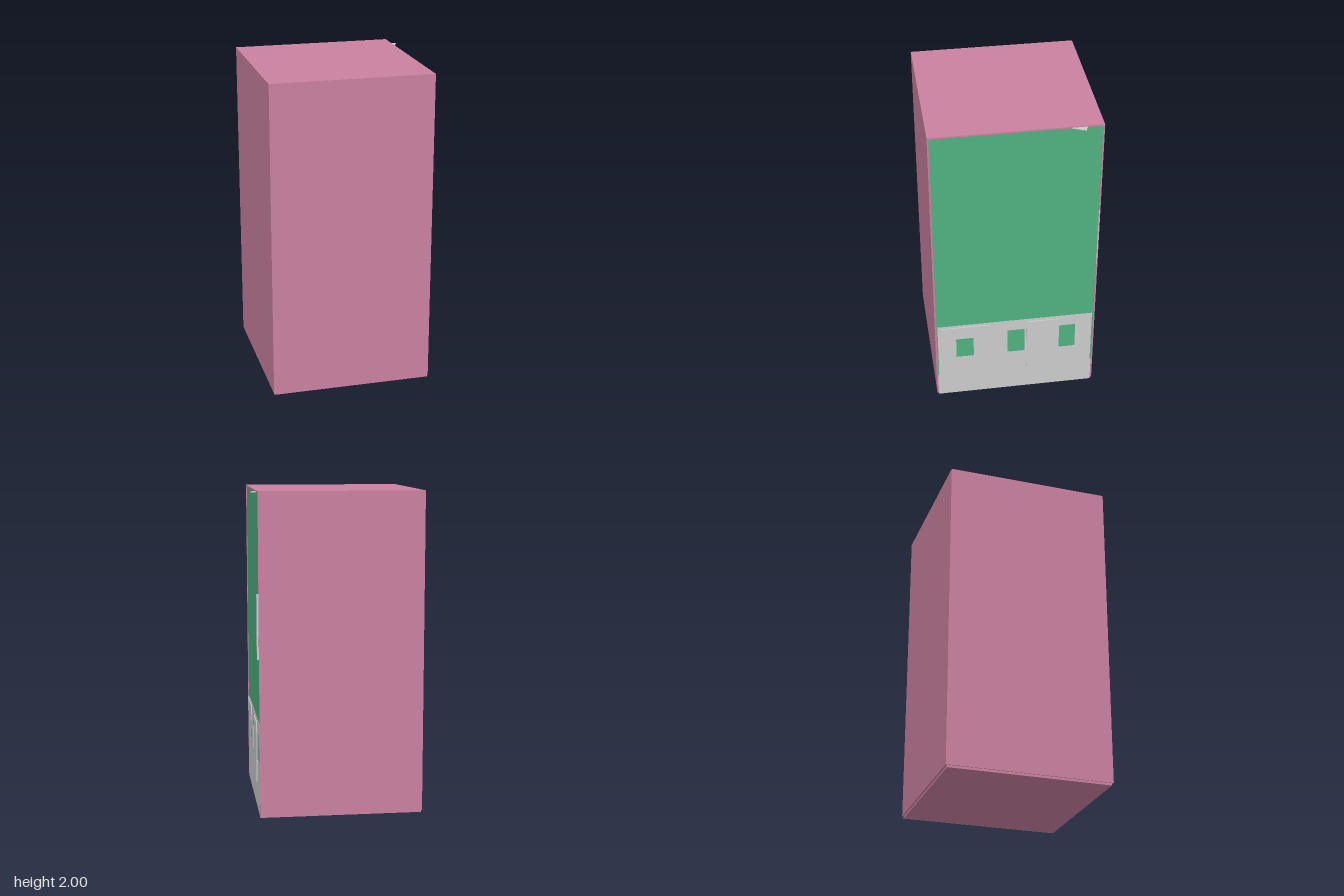
import * as THREE from 'three';

const pink = new THREE.MeshStandardMaterial({ color: 0xc9809f, side: THREE.DoubleSide });
const green = new THREE.MeshStandardMaterial({ color: 0x50b080 });
const grey = new THREE.MeshStandardMaterial({ color: 0xcccccc, side: THREE.DoubleSide });

// Box given by its lower and upper corners
function block(name, material, [x0, y0, z0], [x1, y1, z1]) {
  const mesh = new THREE.Mesh(new THREE.BoxGeometry(x1 - x0, y1 - y0, z1 - z0), material);
  mesh.position.set((x0 + x1) / 2, (y0 + y1) / 2, (z0 + z1) / 2);
  mesh.name = name;
  return mesh;
}

// Rectangle outline in (z, y)
function outline(Type, z0, z1, y0, y1) {
  const p = new Type();
  p.moveTo(-z0, y0);
  p.lineTo(-z1, y0);
  p.lineTo(-z1, y1);
  p.lineTo(-z0, y1);
  p.closePath();
  return p;
}

export function createModel() {
  const model = new THREE.Group();
  model.name = 'cabinet';

  // Outer shell, open towards +x
  const shell = new THREE.Group();
  shell.name = 'shell';
  shell.add(
    block('backWall', pink, [-0.525, 0.015, -0.515], [-0.515, 2, 0.515]),
    block('roof', pink, [-0.525, 1.99, -0.515], [0.487, 2, 0.515]),
  );
  for (const s of [-1, 1]) {
    const z = [s * 0.515, s * 0.505].sort((a, b) => a - b);
    shell.add(block('sideWall', pink, [-0.525, 0.015, z[0]], [0.487, 2, z[1]]));
  }
  model.add(shell);

  // Slightly inset base and the recessed face panel
  model.add(
    block('base', pink, [-0.52, 0, -0.505], [0.482, 0.015, 0.505]),
    block('innerPanel', green, [-0.515, 0.015, -0.505], [0.483, 1.99, 0.505]),
  );

  // Lower panel with three window openings, wider at its foot
  const shape = new THREE.Shape();
  [[-0.505, 0], [0.505, 0], [0.505, 0.17], [0.498, 0.17], [0.498, 0.575],
    [-0.498, 0.575], [-0.498, 0.17], [-0.505, 0.17]]
    .forEach(([u, v], i) => (i ? shape.lineTo(u, v) : shape.moveTo(u, v)));
  for (const z of [0.325, -0.005, -0.335]) {
    shape.holes.push(outline(THREE.Path, z - 0.056, z + 0.056, 0.31, 0.495));
  }
  const lower = new THREE.Mesh(
    new THREE.ExtrudeGeometry(shape, { depth: 0.003, bevelEnabled: false }), grey);
  lower.rotation.y = Math.PI / 2;
  lower.position.x = 0.482;
  lower.name = 'lowerPanel';
  model.add(lower);

  // Raised plates on the lower panel
  model.add(
    block('upperPlate', grey, [0.484, 0.467, 0.165], [0.491, 0.56, 0.487]),
    block('tallPlate', grey, [0.484, 0.17, -0.285], [0.491, 0.555, -0.075]),
  );

  // Handle strip
  model.add(block('handle', grey, [0.484, 0.99, -0.509], [0.499, 1.39, -0.504]));

  // Small pointed tab near the top
  const tabShape = new THREE.Shape();
  tabShape.moveTo(0.484, 0.415);
  tabShape.lineTo(0.522, 0.4);
  tabShape.lineTo(0.484, 0.315);
  tabShape.closePath();
  const tab = new THREE.Mesh(
    new THREE.ExtrudeGeometry(tabShape, { depth: 0.006, bevelEnabled: false }), grey);
  tab.rotation.x = -Math.PI / 2;
  tab.position.y = 1.988;
  tab.name = 'tab';
  model.add(tab);

  return model;
}
